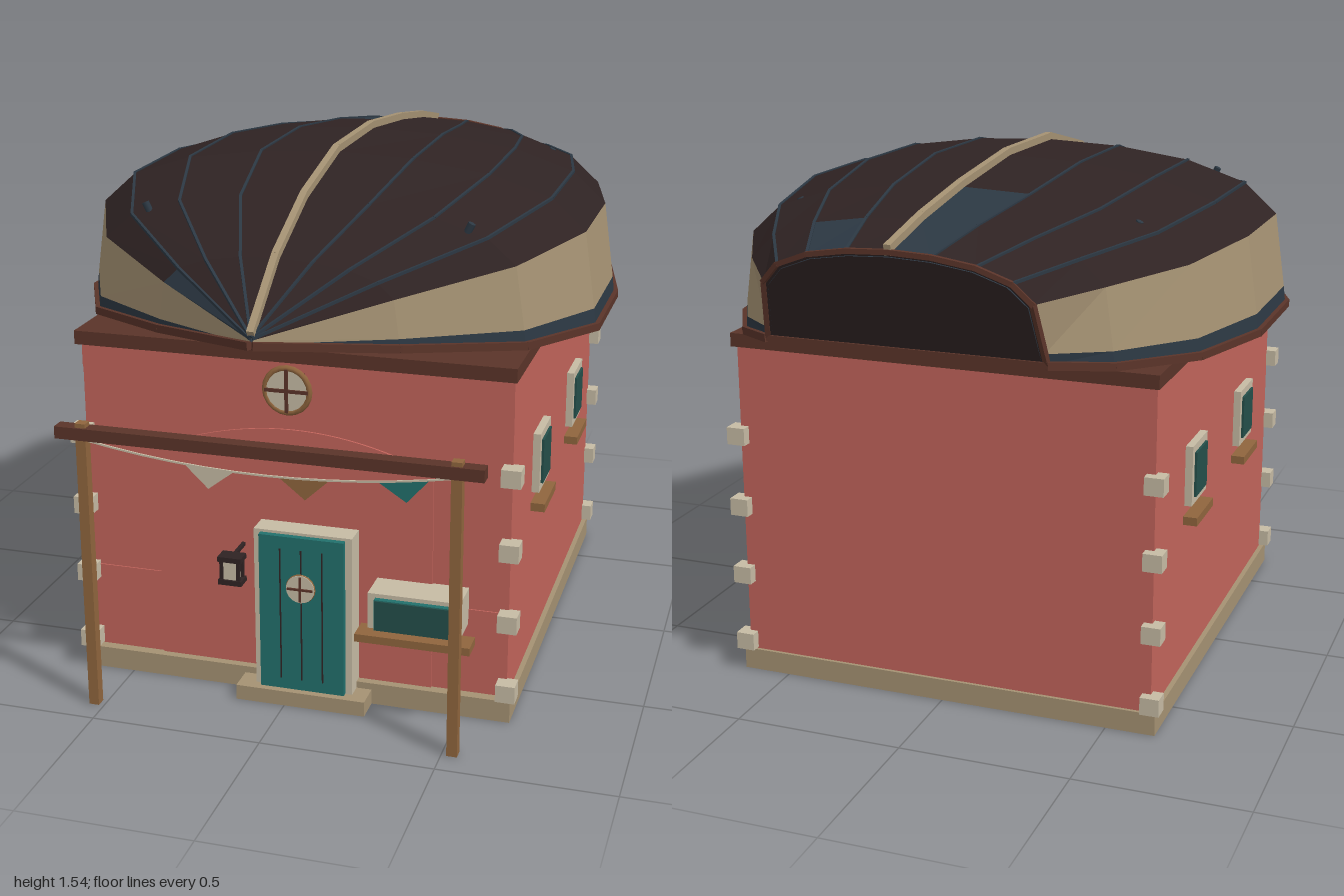
import * as THREE from 'three';

const mat = (name, color, side = THREE.FrontSide) => {
  const m = new THREE.MeshStandardMaterial({ color, side });
  m.name = name;
  return m;
};

export function createModel() {
  const D = THREE.DoubleSide;
  const red = mat('red plaster', 0xc2645b), stone = mat('sandstone', 0xa59273, D);
  const cream = mat('cream trim', 0xc6bba4, D), tar = mat('tarred planks', 0x2f2323, D);
  const rail = mat('red brown timber', 0x5a3429, D), wood = mat('oak', 0x8f653d, D);
  const teal = mat('teal paint', 0x22706c, D), glass = mat('dark glass', 0x244f4a);
  const navy = mat('navy', 0x2c3843, D);

  const model = new THREE.Group();
  model.name = 'boatRoofCottage';
  const group = (name, parent = model) => {
    const g = new THREE.Group();
    g.name = name;
    parent.add(g);
    return g;
  };
  const add = (name, geo, m, parent = model) => {
    const mesh = new THREE.Mesh(geo, m);
    mesh.name = name;
    parent.add(mesh);
    return mesh;
  };
  // Box given by its limits on each axis
  const box = (name, m, x0, x1, y0, y1, z0, z1, parent) => {
    const b = add(name, new THREE.BoxGeometry(x1 - x0, y1 - y0, z1 - z0), m, parent);
    b.position.set((x0 + x1) / 2, (y0 + y1) / 2, (z0 + z1) / 2);
    return b;
  };
  // Straight beam between two points
  const beam = (name, m, a, b, w, h, parent) => {
    const k = add(name, new THREE.BoxGeometry(w, h, a.distanceTo(b) + w * 0.3), m, parent);
    k.position.lerpVectors(a, b, 0.5);
    k.lookAt(b);
    return k;
  };
  const chain = (name, m, pts, w, h, parent = model) => {
    const g = group(name, parent);
    for (let i = 0; i + 1 < pts.length; i++) beam(name + 'Segment', m, pts[i], pts[i + 1], w, h, g);
  };
  // Faceted skin between two rows of points
  const strip = (name, m, A, B, flip, parent) => {
    const p = [];
    for (let i = 0; i + 1 < A.length; i++) {
      const q = flip ? [A[i], B[i + 1], B[i], A[i], A[i + 1], B[i + 1]]
        : [A[i], B[i], B[i + 1], A[i], B[i + 1], A[i + 1]];
      q.forEach(v => p.push(v.x, v.y, v.z));
    }
    const g = new THREE.BufferGeometry();
    g.setAttribute('position', new THREE.Float32BufferAttribute(p, 3));
    g.computeVertexNormals();
    return add(name, g, m, parent);
  };

  // House body
  box('walls', red, -0.63, 0.63, 0.02, 1.02, -0.68, 0.67);
  box('plinth', stone, -0.645, 0.645, 0, 0.065, -0.69, 0.7);
  box('roofSlab', rail, -0.64, 0.64, 1.015, 1.055, -0.7, 0.7);
  box('wallBand', red, -0.63, 0.63, 0.94, 1.015, 0.67, 0.674);
  box('wallBlockLeft', red, 0.41, 0.63, 0.26, 0.325, 0.67, 0.674);
  box('wallBlockRight', red, -0.63, -0.41, 0.26, 0.325, 0.67, 0.674);
  const arch = new THREE.Shape();
  arch.moveTo(-0.41, 0.065);
  arch.lineTo(0.41, 0.065);
  arch.lineTo(0.41, 0.72);
  arch.quadraticCurveTo(0.2, 0.81, 0, 0.81);
  arch.quadraticCurveTo(-0.2, 0.81, -0.41, 0.72);
  add('archedPanel', new THREE.ExtrudeGeometry(arch, { depth: 0.006, bevelEnabled: false }), red).position.z = 0.67;

  // Corner stones
  const quoins = group('cornerStones');
  for (const x of [-1, 1]) for (const z of [-0.684, 0.69]) for (const y of [0.095, 0.31, 0.525, 0.745])
    box('cornerStone', cream, x * 0.633 - 0.028, x * 0.633 + 0.028, y - 0.026, y + 0.026, z - 0.026, z + 0.026, quoins);

  // Side windows
  for (const s of [-1, 1]) for (const z of [-0.29, 0.29]) {
    const w = group(s > 0 ? 'leftWindow' : 'rightWindow');
    const slab = (name, m, d, hz, y0, y1) =>
      box(name, m, Math.min(s * 0.62, s * d), Math.max(s * 0.62, s * d), y0, y1, z - hz, z + hz, w);
    slab('windowFrame', cream, 0.652, 0.082, 0.575, 0.755);
    slab('windowPane', glass, 0.659, 0.06, 0.597, 0.732);
    slab('windowSill', wood, 0.672, 0.092, 0.52, 0.545);
  }

  // Round window: pane, ring and cross bars
  const porthole = (x, y, z, r, ringMat) => {
    const g = group('porthole');
    g.position.set(x, y, z);
    add('portholePane', new THREE.CylinderGeometry(r, r, 0.012, 20), cream, g).rotation.x = Math.PI / 2;
    add('portholeRing', new THREE.TorusGeometry(r * 0.92, r * 0.13, 6, 20), ringMat, g);
    const t = r * 0.07;
    box('crossBar', rail, -r * 0.9, r * 0.9, -t, t, 0.004, 0.011, g);
    box('crossBar', rail, -t, t, -r * 0.9, r * 0.9, 0.004, 0.011, g);
  };
  porthole(0, 0.94, 0.714, 0.07, wood);
  box('portholeMount', rail, -0.04, 0.04, 0.9, 0.98, 0.67, 0.71);

  // Front door and step
  const door = group('door');
  box('doorFrame', cream, -0.095, 0.195, 0.045, 0.53, 0.67, 0.745, door);
  box('doorLeaf', teal, -0.075, 0.175, 0.047, 0.522, 0.7, 0.763, door);
  for (const x of [-0.012, 0.05, 0.112]) box('doorGroove', tar, x - 0.002, x + 0.002, 0.08, 0.485, 0.76, 0.765, door);
  porthole(0.05, 0.37, 0.767, 0.042, wood);
  box('doorStep', stone, -0.145, 0.24, 0, 0.045, 0.67, 0.78);

  // Low front window
  const fw = group('frontWindow');
  box('windowFrame', cream, 0.25, 0.515, 0.28, 0.39, 0.67, 0.78, fw);
  box('windowPane', teal, 0.272, 0.508, 0.285, 0.378, 0.75, 0.796, fw);
  box('windowGlass', glass, 0.275, 0.505, 0.287, 0.376, 0.79, 0.8, fw);
  box('windowSill', wood, 0.225, 0.553, 0.26, 0.283, 0.755, 0.828, fw);

  // Lantern
  const lantern = group('lantern');
  box('lanternGlass', cream, -0.172, -0.128, 0.385, 0.44, 0.762, 0.796, lantern);
  box('lanternBase', tar, -0.185, -0.115, 0.37, 0.385, 0.755, 0.803, lantern);
  box('lanternCap', tar, -0.185, -0.115, 0.44, 0.455, 0.755, 0.803, lantern);
  for (const x of [-0.175, -0.125]) for (const z of [0.763, 0.796])
    box('lanternPost', tar, x - 0.005, x + 0.005, 0.385, 0.44, z - 0.005, z + 0.005, lantern);
  box('lanternBracket', tar, -0.155, -0.145, 0.442, 0.452, 0.67, 0.76, lantern);

  // Porch posts, beam and bunting
  const porch = group('porch');
  for (const x of [-0.53, 0.53]) box('porchPost', wood, x - 0.015, x + 0.015, 0, 0.862, 0.895, 0.925, porch);
  box('porchBeam', rail, -0.605, 0.605, 0.815, 0.85, 0.889, 0.931, porch);
  const ropeY = x => 0.762 + 0.05 * (x / 0.53) ** 2;
  const rope = [];
  for (let i = 0; i <= 12; i++) {
    const x = -0.53 + i * 1.06 / 12;
    rope.push(new THREE.Vector3(x, ropeY(x), 0.91));
  }
  chain('buntingRope', cream, rope, 0.005, 0.005, porch);
  [[-0.43, red], [-0.16, cream], [0.11, wood], [0.385, teal]].forEach(([x, m]) => {
    const s = new THREE.Shape([[-0.07, 0], [0, -0.06], [0.07, 0]].map(p => new THREE.Vector2(...p)));
    const flag = add('buntingFlag', new THREE.ExtrudeGeometry(s, { depth: 0.004, bevelEnabled: false }), m, porch);
    flag.position.set(x, ropeY(x), 0.908);
    flag.rotation.z = Math.atan(0.1 * x / 0.53 ** 2);
  });

  // Upturned hull: stations are z, half width, gunwale height, keel height
  const stations = [
    [1, 0.005, 1.155, 1.18], [0.79, 0.34, 1.11, 1.335], [0.54, 0.63, 1.065, 1.445], [0.23, 0.775, 1.04, 1.515],
    [-0.14, 0.775, 1.038, 1.52], [-0.5, 0.695, 1.055, 1.485], [-0.78, 0.54, 1.085, 1.445], [-1, 0.4, 1.11, 1.4]];
  // Cross-section from keel to gunwale, as fractions of width and height
  const profile = [[0, 1], [0.297, 0.98], [0.587, 0.915], [0.82, 0.79], [0.95, 0.6], [0.992, 0.13], [1, 0.02]];
  const last = stations.length - 1;
  const point = (s, f, side, inset = 0) => {
    const [z, w, g, k] = stations[s], [fx, fy] = profile[f];
    const rake = s === last ? (1 - fy) * 0.09 : 0;
    return new THREE.Vector3(side * fx * Math.max(w - inset, 0.002), g + fy * (k - g - inset), z + rake);
  };
  const row = (f, side, a = 0, b = last, inset = 0) => {
    const r = [];
    for (let s = a; s <= b; s++) r.push(point(s, f, side, inset));
    return r;
  };
  const hull = group('hull');
  const patches = { '-1,0': [5, 7], '1,1': [6, 7], '-1,3': [0, 1] };
  for (const side of [-1, 1]) {
    for (let f = 0; f + 1 < profile.length; f++) {
      const base = f < 4 ? tar : f === 4 ? stone : navy;
      const [a, b] = patches[side + ',' + f] || [last, last];
      const run = (name, m, i, j) => {
        if (j > i) strip(name, m, row(f, side, i, j), row(f + 1, side, i, j), side > 0, hull);
      };
      run('strake', base, 0, a);
      run('patchedStrake', navy, a, b);
      run('strake', base, b, last);
      strip('hullLining', navy, row(f, side, 0, last, 0.014), row(f + 1, side, 0, last, 0.014), side < 0, hull);
    }
    for (const f of [1, 2, 3]) chain('plankSeam', navy, row(f, side), 0.008, 0.008, hull);
    chain('gunwaleRail', rail, row(6, side), 0.024, 0.022, hull);
    // Knobs on the planking
    for (const [x, y, z] of [[0.505, 1.4, -0.48], [0.465, 1.385, 0.54]]) {
      const k = add('hullKnob', new THREE.CylinderGeometry(0.011, 0.011, 0.04, 8), navy, hull);
      k.position.set(side * x, y, z);
      k.rotation.z = -side * 0.45;
    }
  }
  chain('keel', stone, row(0, 1).map(p => p.setY(p.y + 0.006)), 0.02, 0.03, hull);
  add('stemCap', new THREE.SphereGeometry(0.016, 8, 6), navy, hull).position.set(0, 1.158, 0.982);

  // Transom board and rim
  const edge = side => profile.map((_, f) => point(last, f, side));
  strip('transom', tar, edge(1), edge(-1), false, hull);
  for (const side of [-1, 1]) chain('transomRim', rail, edge(side), 0.014, 0.014, hull);
  beam('transomFoot', rail, point(last, 6, -1), point(last, 6, 1), 0.018, 0.018, hull);
  return model;
}
